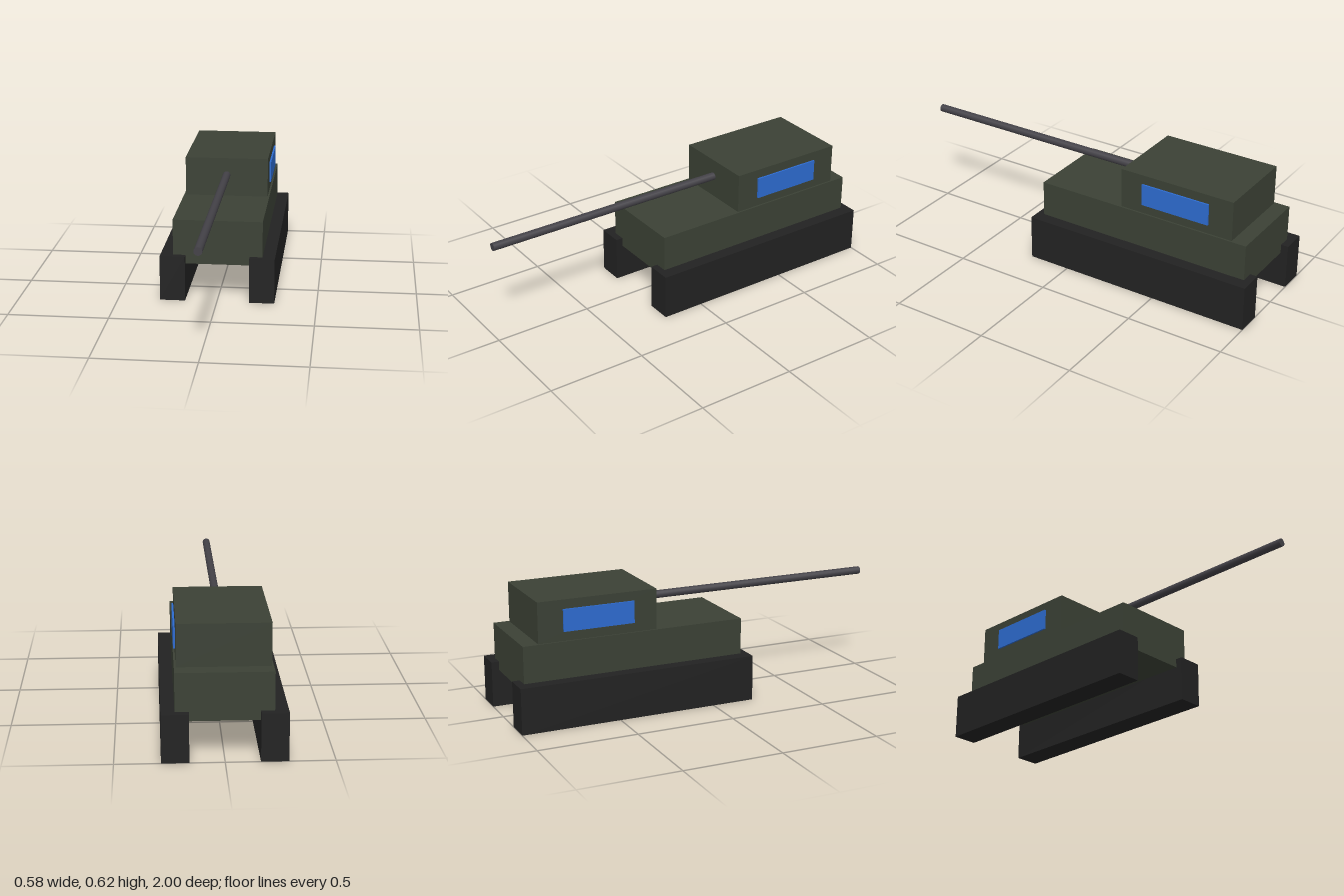
import * as THREE from 'three';

function material(name, color) {
  const m = new THREE.MeshStandardMaterial({ color });
  m.name = name;
  return m;
}

export function createModel() {
  const olive = material('olive', 0x3b4135);
  const black = material('trackBlack', 0x222222);
  const steel = material('gunSteel', 0x434147);
  const blue = material('panelBlue', 0x2d6bcf);

  const model = new THREE.Group();
  model.name = 'tank';

  // Box given by its lower and upper limits on each axis
  function box(name, mat, [x0, x1], [y0, y1], [z0, z1]) {
    const mesh = new THREE.Mesh(new THREE.BoxGeometry(x1 - x0, y1 - y0, z1 - z0), mat);
    mesh.position.set((x0 + x1) / 2, (y0 + y1) / 2, (z0 + z1) / 2);
    mesh.name = name;
    model.add(mesh);
  }

  // Hull and turret
  box('hull', olive, [-0.225, 0.225], [0.185, 0.413], [-0.962, 0.18]);
  box('turret', olive, [-0.216, 0.216], [0.413, 0.616], [-0.883, -0.276]);

  // Tracks and side panels, mirrored
  for (const [side, s] of [['left', 1], ['right', -1]]) {
    const span = (a, b) => (s > 0 ? [a, b] : [-b, -a]);
    box(side + 'Track', black, span(0.161, 0.288), [0, 0.23], [-1, 0.216]);
    box(side + 'Panel', blue, span(0.2165, 0.2255), [0.46, 0.57], [-0.757, -0.395]);
  }

  // Gun barrel, from the turret face forward
  const barrelStart = -0.29, barrelEnd = 1;
  const barrelGeometry = new THREE.CylinderGeometry(0.02, 0.02, barrelEnd - barrelStart, 16);
  barrelGeometry.rotateX(Math.PI / 2);
  const barrel = new THREE.Mesh(barrelGeometry, steel);
  barrel.position.set(0, 0.525, (barrelStart + barrelEnd) / 2);
  barrel.name = 'gunBarrel';
  model.add(barrel);

  return model;
}
